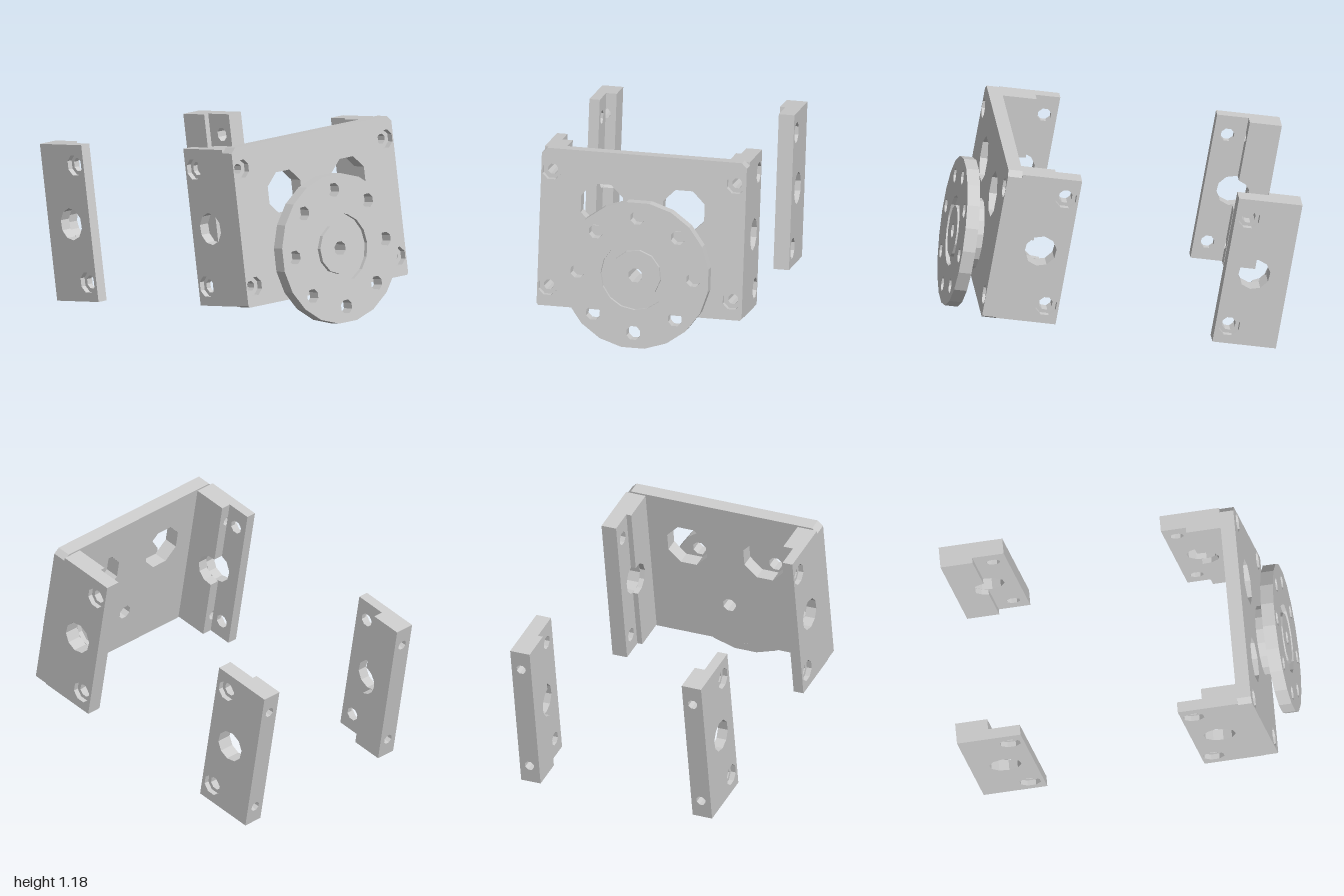
import * as THREE from 'three';

const mat = new THREE.MeshStandardMaterial({ color: 0xcccccc, flatShading: true });
const LOW = 0.145, HIGH = 1.04;          // lower and upper ends of the rails
const MID_LOW = 0.46, MID_HIGH = 0.72;   // zone around the large rail hole
const BORE_Y = 0.585, BORE_R = 0.092;
const SCREW_Y = [0.254, 0.923];
const DISC_Y = 0.388;

// Regular polygon, as [x, y] points
function ring(cx, cy, r, n = 8, turn = Math.PI / 8) {
  return Array.from({ length: n }, (_, i) => {
    const a = turn + (i / n) * Math.PI * 2;
    return [cx + r * Math.cos(a), cy + r * Math.sin(a)];
  });
}

const rect = (x0, y0, x1, y1) => [[x0, y0], [x1, y0], [x1, y1], [x0, y1]];
const vectors = (pts) => pts.map(([x, y]) => new THREE.Vector2(x, y));

function extrude(outline, holes, depth) {
  const shape = new THREE.Shape(vectors(outline));
  shape.holes = holes.map((h) => new THREE.Path(vectors(h)));
  return new THREE.ExtrudeGeometry(shape, { depth, bevelEnabled: false });
}

function add(parent, name, geometry) {
  const mesh = new THREE.Mesh(geometry, mat);
  mesh.name = name;
  parent.add(mesh);
}

// Slab with its outline in x, y, spanning z0 to z1
function slabZ(outline, holes, z0, z1) {
  return extrude(outline, holes, z1 - z0).translate(0, 0, z0);
}

// Slab with its outline in z, y, spanning x0 to x1
function slabX(outline, holes, xa, xb) {
  const x0 = Math.min(xa, xb), x1 = Math.max(xa, xb);
  return extrude(outline, holes, x1 - x0).rotateY(-Math.PI / 2).translate(x1, 0, 0);
}

// L-section rail: a thick strip with lengthwise screw holes and a thin flange.
// u runs from the thick edge (z = base) towards the flange edge.
function rail(name, side, base, dir, { width, step, bore, screw }) {
  const g = new THREE.Group();
  g.name = name;
  const z = (u) => base + dir * u;
  const outer = side * 0.59, inner = side * 0.47;
  const flange = side > 0 ? 0.50 : -0.53;
  const counter = side * 0.56;

  // middle of the rail, pierced by the large hole
  add(g, 'railMiddle', slabX(rect(z(0), MID_LOW, z(width), MID_HIGH),
    [ring(z(bore), BORE_Y, BORE_R, 10)], flange, outer));
  const h = Math.sqrt(BORE_R ** 2 - (step - bore) ** 2);
  const a0 = Math.atan2(-h, step - bore), a1 = Math.atan2(h, step - bore) - Math.PI * 2;
  const notch = [[z(0), MID_LOW], [z(step), MID_LOW]];
  for (let i = 0; i <= 6; i++) {
    const a = a0 + (a1 - a0) * (i / 6);
    notch.push([z(bore + BORE_R * Math.cos(a)), BORE_Y + BORE_R * Math.sin(a)]);
  }
  notch.push([z(step), MID_HIGH], [z(0), MID_HIGH]);
  add(g, 'railNotch', slabX(notch, [], inner, flange));

  // upper and lower ends with counterbored flange holes
  [[LOW, MID_LOW], [MID_HIGH, HIGH]].forEach(([y0, y1], i) => {
    const y = SCREW_Y[i];
    const face = rect(z(step), y0, z(width), y1);
    add(g, 'flangeOuter', slabX(face, [ring(z(screw), y, 0.062)], counter, outer));
    add(g, 'flangeInner', slabX(face, [ring(z(screw), y, 0.04)], flange, counter));
    add(g, 'thickEnd', slabZ(rect(inner, y0, outer, y1), [ring(side * 0.53, y, 0.03)],
      Math.min(z(0), z(step)), Math.max(z(0), z(step))));
  });
  return g;
}

export function createModel() {
  const model = new THREE.Group();
  model.name = 'bracket';
  const tilted = new THREE.Group();
  tilted.name = 'tiltedAssembly';
  tilted.rotation.x = -0.17;
  model.add(tilted);

  // front plate with two large openings, a centre hole and counterbored corners
  const plate = new THREE.Group();
  plate.name = 'frontPlate';
  const outline = [[-0.58, 0.14], [0.58, 0.14], [0.59, 0.15], [0.59, 1.02],
    [0.56, 1.05], [-0.56, 1.05], [-0.59, 1.02], [-0.59, 0.15]];
  const openings = [ring(-0.235, 0.745, 0.13), ring(0.235, 0.745, 0.13), ring(0, DISC_Y, 0.042)];
  const corners = (r) => [-0.53, 0.53].flatMap((x) => SCREW_Y.map((y) => ring(x, y, r)));
  add(plate, 'plateBack', slabZ(outline, [...openings, ...corners(0.03)], 0.772, 0.815));
  add(plate, 'plateFace', slabZ(outline, [...openings, ...corners(0.056)], 0.815, 0.853));
  tilted.add(plate);

  // round horn on a short hub, with a ring of holes and a shallow groove
  const horn = new THREE.Group();
  horn.name = 'horn';
  const centre = ring(0, DISC_Y, 0.042);
  const rim = ring(0, DISC_Y, 0.424, 20, Math.PI / 20);
  const holes = ring(0, DISC_Y, 0.333, 8, 0).map(([x, y]) => ring(x, y, 0.042));
  add(horn, 'hub', slabZ(ring(0, DISC_Y, 0.2, 16), [centre], 0.853, 0.925));
  add(horn, 'discBack', slabZ(rim, [...holes, centre], 0.925, 0.975));
  add(horn, 'discFace', slabZ(rim, [...holes, ring(0, DISC_Y, 0.2, 16)], 0.975, 0.998));
  add(horn, 'discCentre', slabZ(ring(0, DISC_Y, 0.145, 12), [centre], 0.975, 0.998));
  tilted.add(horn);

  // side rails behind the plate and the free-standing rear pair
  const front = { width: 0.342, step: 0.199, bore: 0.18, screw: 0.27 };
  const rear = { width: 0.365, step: 0.184, bore: 0.2, screw: 0.286 };
  for (const side of [-1, 1]) {
    const label = side > 0 ? 'Left' : 'Right';
    tilted.add(rail('frontRail' + label, side, 0.772, -1, front));
    tilted.add(rail('rearRail' + label, side, -0.837, 1, rear));
  }
  return model;
}
